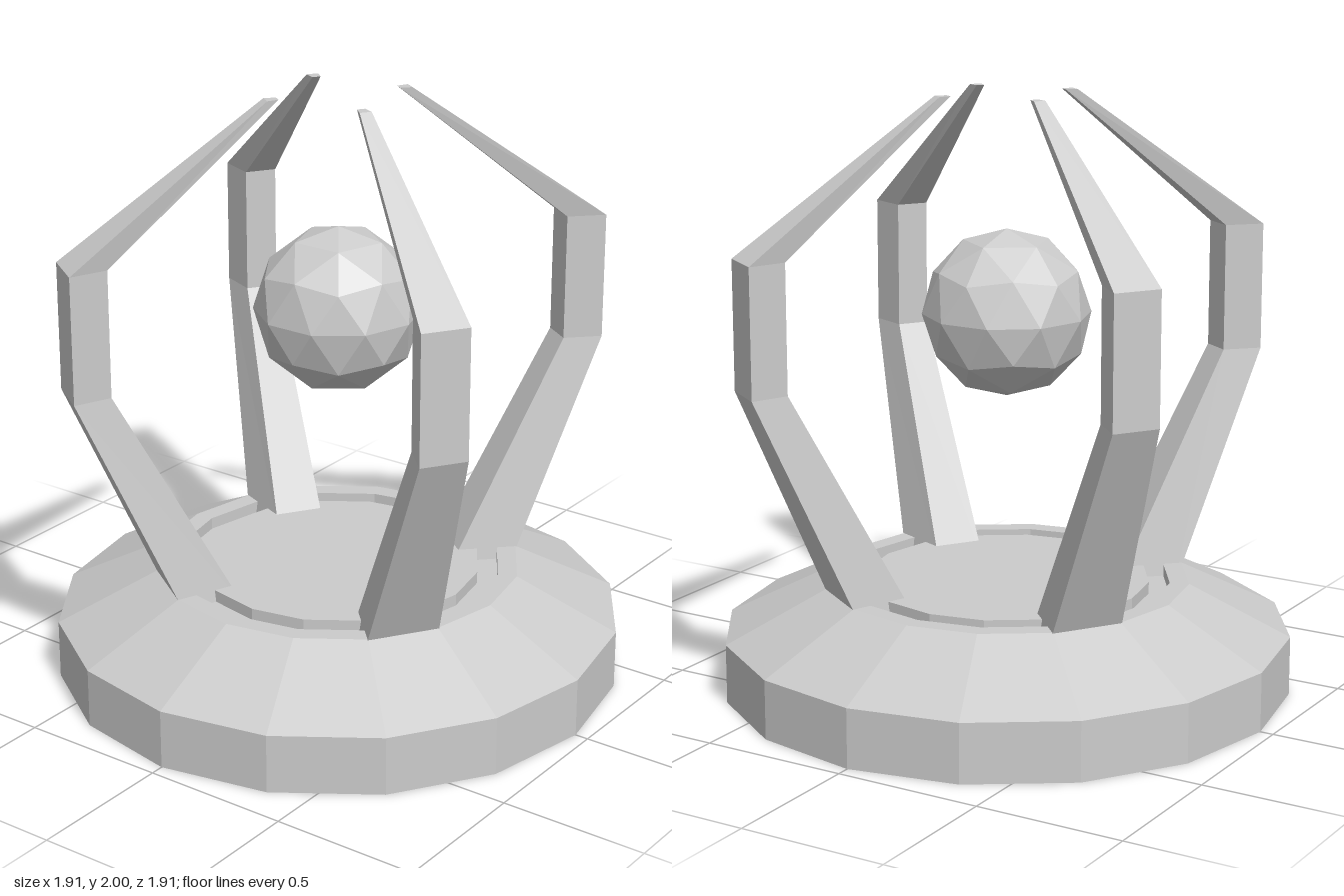
import * as THREE from 'three';

const material = new THREE.MeshStandardMaterial({ color: 0xcccccc, flatShading: true });

// Four-sided tapering bar; each section is [y, innerRadius, innerHalfWidth, outerRadius, outerHalfWidth]
function createClawGeometry(sections) {
  const positions = [];
  const index = [];
  for (const [y, ri, hi, ro, ho] of sections) {
    positions.push(ri, y, -hi, ro, y, -ho, ro, y, ho, ri, y, hi);
  }
  for (let s = 0; s < sections.length - 1; s++) {
    for (let j = 0; j < 4; j++) {
      const a = s * 4 + j;
      const b = s * 4 + ((j + 1) % 4);
      index.push(a, a + 4, b + 4, a, b + 4, b);
    }
  }
  // End caps
  const t = (sections.length - 1) * 4;
  index.push(0, 1, 2, 0, 2, 3, t, t + 3, t + 2, t, t + 2, t + 1);

  const indexed = new THREE.BufferGeometry();
  indexed.setAttribute('position', new THREE.Float32BufferAttribute(positions, 3));
  indexed.setIndex(index);
  const geometry = indexed.toNonIndexed();
  geometry.computeVertexNormals();
  return geometry;
}

export function createModel() {
  const model = new THREE.Group();
  model.name = 'clawPedestal';

  // Sixteen-sided base with a bevelled rim and a ring groove in its top
  const profile = [
    [0, 0], [0.955, 0], [0.955, 0.2], [0.615, 0.37], [0.55, 0.37],
    [0.55, 0.33], [0.48, 0.33], [0.48, 0.37], [0, 0.37],
  ].map(([r, y]) => new THREE.Vector2(r, y));
  const base = new THREE.Mesh(new THREE.LatheGeometry(profile, 16), material);
  base.name = 'base';
  model.add(base);

  // Four claws leaning out, then curling in over the orb
  const clawGeometry = createClawGeometry([
    [0.3, 0.371, 0.084, 0.576, 0.127],
    [1.085, 0.79, 0.054, 0.92, 0.08],
    [1.515, 0.79, 0.054, 0.92, 0.08],
    [2, 0.205, 0.014, 0.245, 0.02],
  ]);
  const claws = new THREE.Group();
  claws.name = 'claws';
  for (let i = 0; i < 4; i++) {
    const claw = new THREE.Mesh(clawGeometry, material);
    claw.name = `claw${i + 1}`;
    claw.rotation.y = THREE.MathUtils.degToRad(90 * i - 33.75);
    claws.add(claw);
  }
  model.add(claws);

  // Faceted floating orb, turned so that a five-sided corner points straight up
  const orbGeometry = new THREE.IcosahedronGeometry(0.28, 1);
  orbGeometry.rotateZ(-Math.atan(2 / (1 + Math.sqrt(5))));
  const orb = new THREE.Mesh(orbGeometry, material);
  orb.name = 'orb';
  orb.position.y = 1.275;
  model.add(orb);

  return model;
}
